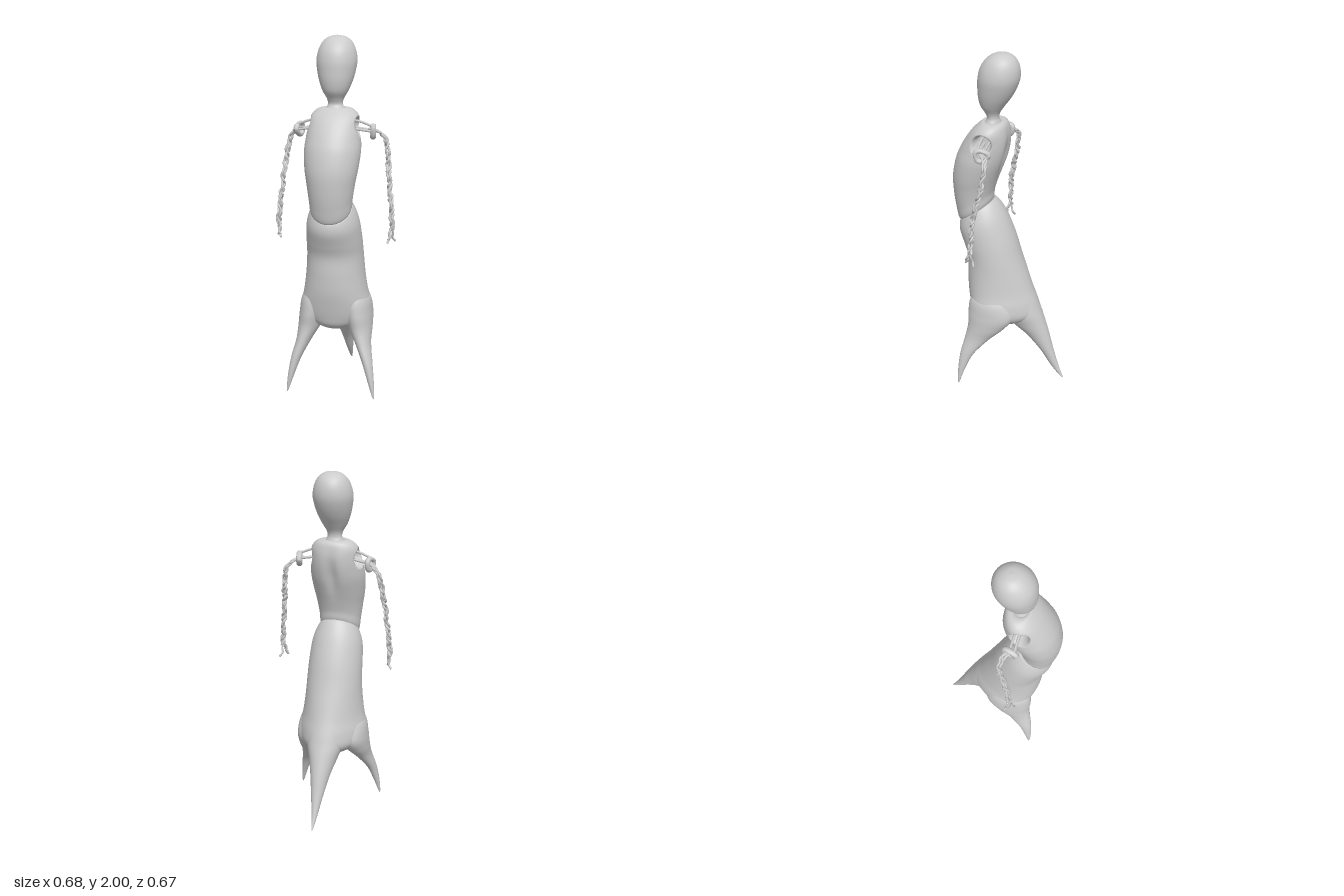
import * as THREE from 'three';

const material = new THREE.MeshStandardMaterial({ color: 0xcccccc, side: THREE.DoubleSide });

function addMesh(parent, name, geometry) {
  const mesh = new THREE.Mesh(geometry, material);
  mesh.name = name;
  parent.add(mesh);
  return mesh;
}

// Smooth skin through sections listed top to bottom:
// [y, front z, back z, half width, slope of the section, front-heavy bias, centre x]
function loft(sections, { rows = 60, sides = 48, shape = null } = {}) {
  const full = sections.map(s => [...s, 0, 0, 0].slice(0, 7));
  const spline = new THREE.CubicInterpolant(full.map((_, i) => i), full.flat(), 7, new Float32Array(7));
  const positions = [], index = [];
  const p = new THREE.Vector3();
  for (let r = 0; r <= rows; r++) {
    const [y, front, back, half, slope, bias, cx] = spline.evaluate((r / rows) * (full.length - 1) * 0.99999);
    for (let i = 0; i < sides; i++) {
      const a = (i / sides) * Math.PI * 2, c = Math.cos(a);
      const dz = ((front - back) / 2) * c;
      p.set(cx + half * Math.sin(a) * (1 + bias * c), y + slope * dz, (front + back) / 2 + dz);
      if (shape) shape(p);
      positions.push(p.x, p.y, p.z);
      if (r < rows) {
        const n = (i + 1) % sides, u = r * sides, v = u + sides;
        index.push(u + i, v + i, u + n, u + n, v + i, v + n);
      }
    }
  }
  const geometry = new THREE.BufferGeometry();
  geometry.setAttribute('position', new THREE.Float32BufferAttribute(positions, 3));
  geometry.setIndex(index);
  geometry.computeVertexNormals();
  return geometry;
}

// Round strand through points, with a ball closing each end
function strand(parent, name, points, radius) {
  const curve = new THREE.CatmullRomCurve3(points);
  addMesh(parent, name, new THREE.TubeGeometry(curve, points.length * 3, radius, 7));
  for (const end of [points[0], points[points.length - 1]])
    addMesh(parent, name + 'End', new THREE.SphereGeometry(radius, 8, 6)).position.copy(end);
}

// Shoulder sockets pressed into the sides, and a groove down the spine
function shapeTorso(p) {
  const d = Math.hypot((p.z - 0.125) / 0.052, (p.y - 1.515) / 0.055);
  if (Math.abs(p.x) > 0.05) p.x -= Math.sign(p.x) * 0.065 * (1 - THREE.MathUtils.smoothstep(d, 0.7, 1.1));
  if (p.z < 0.13)
    p.z += 0.022 * Math.exp(-((p.x / 0.035) ** 2)) * Math.exp(-(((p.y - 1.42) / 0.11) ** 2));
}

function buildArm(side) {
  const arm = new THREE.Group();
  arm.name = side > 0 ? 'leftArm' : 'rightArm';
  const v = (x, y, z) => new THREE.Vector3(side * x, y, z);

  // Rods reaching out of the socket
  for (const [y, z] of [[1.545, 0.122], [1.505, 0.094], [1.5, 0.122]])
    strand(arm, 'shoulderRod', [v(0.07, y + 0.01, z + 0.005), v(0.14, y, z), v(0.215, 1.49 + (y - 1.5) * 0.6, z - 0.006)], 0.007);

  // Knobbly ring around the rods
  const ring = new THREE.TorusGeometry(0.034, 0.014, 10, 20);
  const pos = ring.attributes.position;
  for (let i = 0; i < pos.count; i++) {
    const k = 1 + 0.1 * Math.sin(3 * Math.atan2(pos.getY(i), pos.getX(i)) + 1);
    pos.setXYZ(i, pos.getX(i) * k, pos.getY(i) * k * 0.9, pos.getZ(i) * 1.15);
  }
  ring.computeVertexNormals();
  const mesh = addMesh(arm, 'shoulderRing', ring);
  mesh.position.set(side * 0.206, 1.492, 0.094);
  mesh.rotation.set(0, side * (Math.PI / 2 + 0.25), 0);

  // Three strands twisted around the arm line
  const line = new THREE.CatmullRomCurve3([
    v(0.2, 1.5, 0.098), v(0.243, 1.475, 0.06), v(0.274, 1.43, 0.054), v(0.285, 1.35, 0.065),
    v(0.298, 1.25, 0.09), v(0.31, 1.12, 0.112), v(0.32, 1.02, 0.118), v(0.322, 0.96, 0.122)]);
  for (let k = 0; k < 3; k++) {
    const points = [];
    for (let i = 0; i <= 30; i++) {
      const t = i / 30, a = k * 2.094 + t * 21 + Math.sin(i * 1.7 + k);
      const r = 0.01 + 0.003 * Math.sin(i * 2.3 + k * 2);
      const p = line.getPointAt(t);
      points.push(p.add(new THREE.Vector3(side * r * Math.cos(a), 0.3 * r * Math.sin(a * 0.5), r * Math.sin(a))));
    }
    strand(arm, 'armStrand', points, 0.0068);
  }

  // Forked fingers
  const fingers = [
    [[0.322, 0.965, 0.122], [0.308, 0.935, 0.138], [0.313, 0.91, 0.138], [0.304, 0.888, 0.155]],
    [[0.322, 0.965, 0.122], [0.328, 0.935, 0.115], [0.322, 0.91, 0.108], [0.336, 0.888, 0.098]],
    [[0.32, 0.97, 0.122], [0.315, 0.945, 0.128], [0.318, 0.92, 0.146], [0.307, 0.905, 0.152]]];
  for (const f of fingers) strand(arm, 'finger', f.map(q => v(...q)), 0.006);
  return arm;
}

export function createModel() {
  const model = new THREE.Group();
  model.name = 'figure';

  addMesh(model, 'head', loft([
    [2.0, 0.052, 0.048, 0.002], [1.992, 0.094, 0.01, 0.045], [1.965, 0.135, -0.026, 0.08],
    [1.92, 0.167, -0.045, 0.102], [1.865, 0.182, -0.046, 0.111], [1.81, 0.185, -0.028, 0.104],
    [1.755, 0.183, 0.002, 0.09], [1.705, 0.172, 0.038, 0.07], [1.665, 0.147, 0.064, 0.047],
    [1.635, 0.136, 0.07, 0.041], [1.61, 0.148, 0.062, 0.052], [1.59, 0.145, 0.065, 0.05]]));

  addMesh(model, 'torso', loft([
    [1.605, 0.13, 0.08, 0.03], [1.618, 0.155, 0.05, 0.065], [1.605, 0.175, 0.028, 0.105], [1.57, 0.212, 0.016, 0.134],
    [1.52, 0.25, 0.01, 0.143], [1.46, 0.285, 0.015, 0.15], [1.39, 0.314, 0.033, 0.155],
    [1.3, 0.335, 0.063, 0.147, -0.1], [1.22, 0.334, 0.085, 0.133, -0.3], [1.14, 0.322, 0.105, 0.121, -0.5],
    [1.075, 0.304, 0.112, 0.112, -0.7], [1.06, 0.27, 0.14, 0.08, -0.7]],
    { rows: 120, sides: 96, shape: shapeTorso }));

  addMesh(model, 'lowerBody', loft([
    [1.075, 0.22, 0.18, 0.01, -0.7], [1.078, 0.285, 0.112, 0.1, -0.7], [1.065, 0.302, 0.09, 0.12, -0.7],
    [1.0, 0.301, 0.035, 0.145, -0.45], [0.9, 0.276, -0.02, 0.155, -0.2, 0.03], [0.8, 0.254, -0.06, 0.159, 0, 0.05],
    [0.7, 0.254, -0.095, 0.165, 0, 0.1], [0.6, 0.25, -0.13, 0.176, 0, 0.18], [0.52, 0.237, -0.16, 0.19, 0, 0.25],
    [0.45, 0.222, -0.17, 0.184, 0, 0.28], [0.4, 0.205, -0.12, 0.14, 0, 0.2], [0.37, 0.165, -0.02, 0.075],
    [0.36, 0.09, 0.08, 0.005]], { rows: 80, sides: 64 }));

  // Two front legs
  for (const side of [1, -1]) {
    addMesh(model, side > 0 ? 'leftLeg' : 'rightLeg', loft([
      [0.62, 0.16, 0.0, 0.02, 0, 0, side * 0.11], [0.55, 0.205, -0.04, 0.073, 0, 0, side * 0.118],
      [0.46, 0.217, -0.06, 0.078, 0, 0, side * 0.131], [0.38, 0.214, -0.005, 0.066, 0, 0, side * 0.147],
      [0.3, 0.226, 0.08, 0.044, 0, 0, side * 0.171], [0.2, 0.245, 0.165, 0.029, 0, 0, side * 0.206],
      [0.1, 0.252, 0.21, 0.018, 0, 0, side * 0.231], [0.02, 0.25, 0.236, 0.007, 0, 0, side * 0.247],
      [0, 0.246, 0.244, 0.001, 0, 0, side * 0.25]], { sides: 32 }));
    model.add(buildArm(side));
  }

  // Single rear leg
  addMesh(model, 'rearLeg', loft([
    [0.68, 0.0, -0.06, 0.02], [0.58, 0.04, -0.135, 0.095], [0.47, 0.05, -0.18, 0.108],
    [0.38, 0.0, -0.214, 0.083], [0.3, -0.095, -0.24, 0.058], [0.2, -0.185, -0.268, 0.037],
    [0.1, -0.25, -0.3, 0.019], [0.03, -0.308, -0.327, 0.007], [0.01, -0.332, -0.334, 0.001]], { sides: 32 }));

  return model;
}
